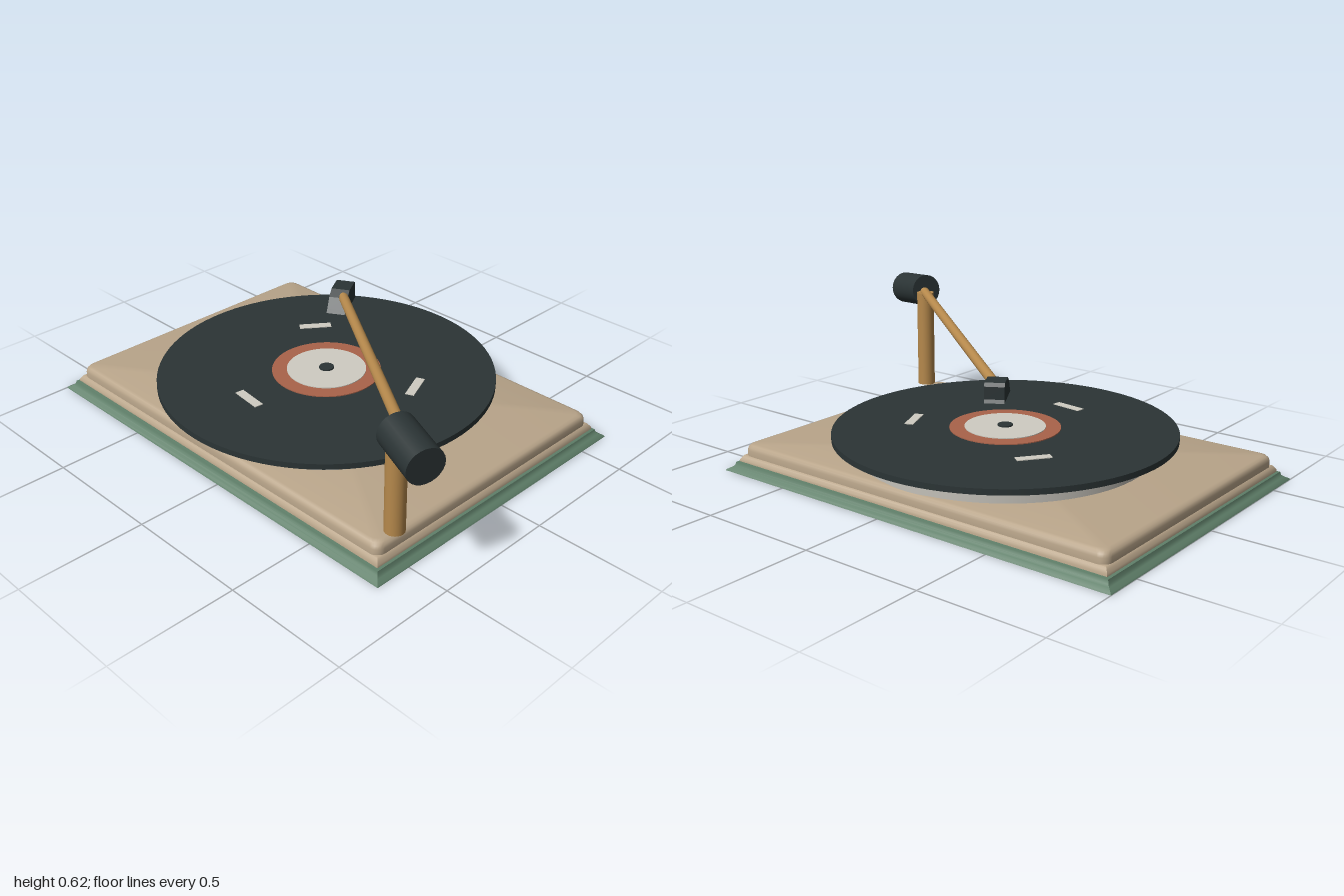
import * as THREE from 'three';
import { toCreasedNormals } from 'three/addons/utils/BufferGeometryUtils.js';

const CX = -0.085; // centre of plinth and platter
const EXTRA = 0.262; // plinth half width minus half depth

// Closed stack of (rounded) rectangles: profile rows are [half depth, y]
function moulding(profile, radius) {
  const seg = radius > 0 ? 6 : 0, pos = [], idx = [];
  const n = 4 * (seg + 1), rows = profile.length;
  for (const [hz, y] of profile) {
    for (let c = 0; c < 4; c++) {
      const sx = c === 0 || c === 3 ? 1 : -1, sz = c < 2 ? 1 : -1;
      for (let k = 0; k <= seg; k++) {
        const a = (c + (seg ? k / seg : 0.5)) * Math.PI / 2;
        pos.push(CX + sx * (hz + EXTRA - radius) + radius * Math.cos(a), y, sz * (hz - radius) + radius * Math.sin(a));
      }
    }
  }
  pos.push(CX, profile[0][1], 0, CX, profile[rows - 1][1], 0);
  const bottom = rows * n, top = bottom + 1;
  for (let i = 0; i < n; i++) {
    const j = (i + 1) % n;
    for (let r = 0; r < rows - 1; r++) {
      const a = r * n + i, b = r * n + j;
      idx.push(a, a + n, b, b, a + n, b + n);
    }
    idx.push(bottom, i, j, top, (rows - 1) * n + j, (rows - 1) * n + i);
  }
  const g = new THREE.BufferGeometry();
  g.setAttribute('position', new THREE.Float32BufferAttribute(pos, 3));
  g.setIndex(idx);
  return toCreasedNormals(g, 0.7);
}

export function createModel() {
  const group = new THREE.Group();
  const mat = (name, color) => {
    const m = new THREE.MeshStandardMaterial({ color });
    m.name = name;
    return m;
  };
  const tan = mat('tan plinth', 0xb9a58a);
  const green = mat('green trim', 0x5f7f69);
  const dark = mat('dark slate', 0x2b3435);
  const silver = mat('platter silver', 0xc4c1b9);
  const rust = mat('rust label', 0xa9634a);
  const cream = mat('cream', 0xcfccc2);
  const brass = mat('brass', 0xb6894c);

  const add = (name, geo, material) => {
    const m = new THREE.Mesh(geo, material);
    m.name = name;
    group.add(m);
    return m;
  };
  // Upright disc on the platter axis
  const disc = (name, r, y0, y1, material, sides = 72) => {
    add(name, new THREE.CylinderGeometry(r, r, y1 - y0, sides), material).position.set(CX, (y0 + y1) / 2, 0);
  };
  // Cylinder between two points
  const rod = (name, a, b, r, material, sides) => {
    const m = add(name, new THREE.CylinderGeometry(r, r, a.distanceTo(b), sides), material);
    m.position.copy(a).lerp(b, 0.5);
    m.quaternion.setFromUnitVectors(new THREE.Vector3(0, 1, 0), b.clone().sub(a).normalize());
  };
  const V = (x, y, z) => new THREE.Vector3(x, y, z);

  // Plinth: flared green skirt, tan step, rounded top panel
  add('plinthSkirt', moulding([[0.653, 0], [0.65, 0.005], [0.634, 0.014], [0.626, 0.02], [0.622, 0.034], [0.612, 0.036]], 0), green);
  add('plinthStep', moulding([[0.612, 0.034], [0.611, 0.045], [0.604, 0.055], [0.598, 0.062], [0.59, 0.064]], 0), tan);
  add('plinthPanel', moulding([[0.585, 0.05], [0.598, 0.062], [0.598, 0.085], [0.595, 0.097], [0.588, 0.106], [0.575, 0.11]], 0.035), tan);

  // Platter, disc and labels
  disc('platter', 0.585, 0.105, 0.16, silver);
  disc('record', 0.68, 0.177, 0.2, dark, 96);
  disc('labelRing', 0.22, 0.199, 0.204, rust);
  disc('labelCentre', 0.16, 0.2, 0.207, cream);
  disc('spindle', 0.03, 0.2, 0.213, dark, 24);

  // Three pale marks set around the disc
  for (let i = 0; i < 3; i++) {
    const a = THREE.MathUtils.degToRad(96.7 + 120 * i);
    const m = add('recordMark', new THREE.BoxGeometry(0.036, 0.005, 0.135), cream);
    m.position.set(CX + 0.377 * Math.cos(a), 0.2005, 0.377 * Math.sin(a));
    m.rotation.y = -a;
  }

  // Post, arm and counterweight
  rod('armPost', V(0.76, 0.12, 0.5), V(0.76, 0.55, 0.5), 0.038, brass, 24);
  rod('toneArm', V(0.765, 0.553, 0.5), V(-0.165, 0.435, -0.175), 0.02, brass, 20);
  rod('counterweight', V(0.787, 0.55, 0.537), V(0.975, 0.531, 0.604), 0.07, dark, 24);

  // Cartridge head: side profile extruded across its width
  const side = new THREE.Shape([
    [-0.088, 0.387], [0.088, 0.387], [0.081, 0.4], [0.081, 0.448], [0.073, 0.462],
    [-0.01, 0.462], [-0.045, 0.44], [-0.075, 0.4],
  ].map(([s, y]) => new THREE.Vector2(s, y)));
  const headGeo = new THREE.ExtrudeGeometry(side, { depth: 0.076, bevelEnabled: false });
  headGeo.translate(0, 0, -0.038);
  const head = add('cartridgeHead', headGeo, dark);
  head.position.set(-0.19, 0, -0.187);
  head.rotation.y = Math.PI - Math.atan2(0.86, 0.5);
  return group;
}
